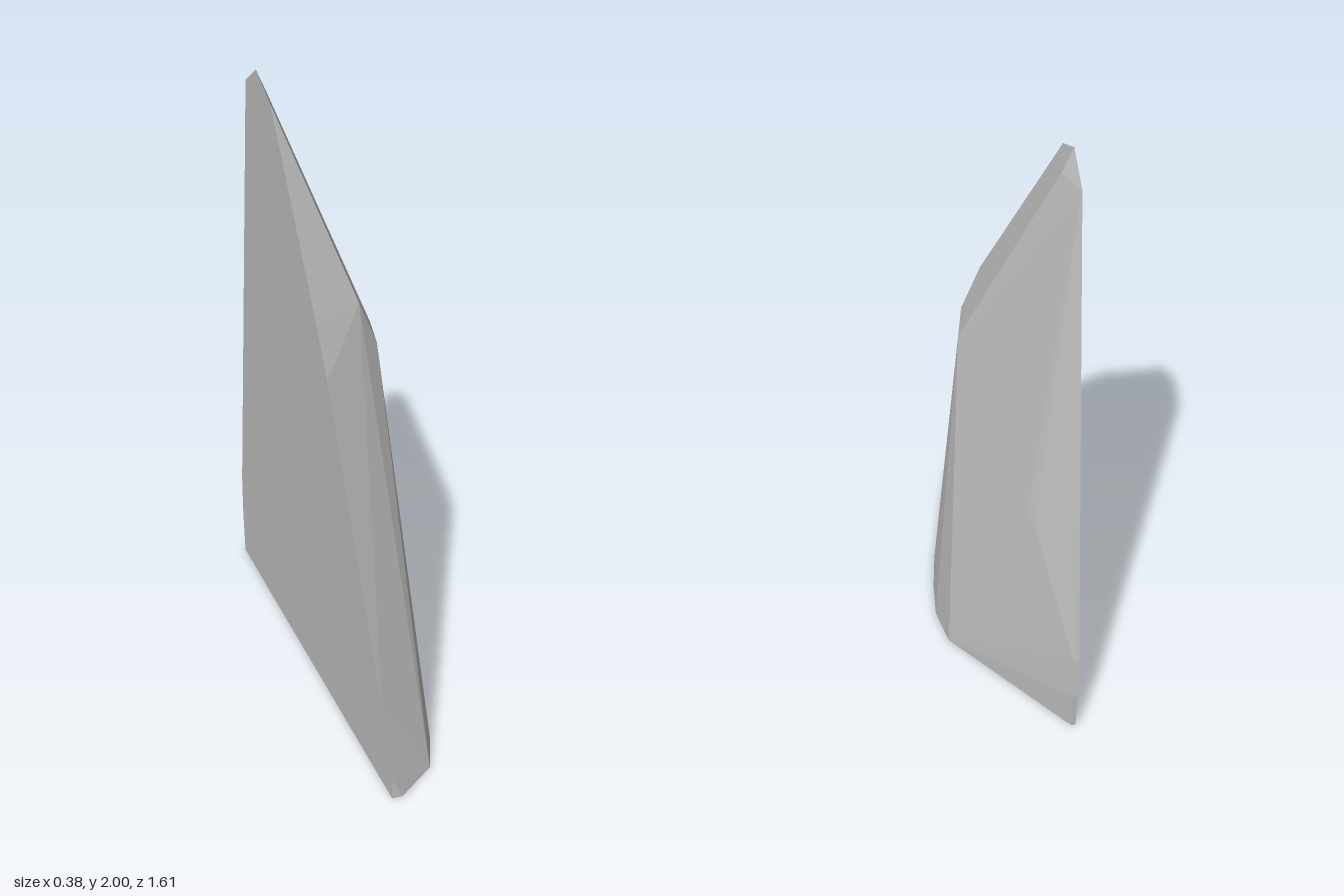
import * as THREE from 'three';
import { ConvexGeometry } from 'three/addons/geometries/ConvexGeometry.js';

export function createModel() {
  const group = new THREE.Group();
  const stone = new THREE.MeshStandardMaterial({ color: 0xc0c0c0 });
  const flatX = -0.19;

  // outline of the flat side, as [z, y]
  const side = [
    [0.805, 0], [0.805, 0.07], [0.71, 0.28], [0.21, 1.19], [0.11, 1.34], [-0.33, 1.93],
    [-0.48, 2], [-0.6, 1.93], [-0.8, 0.31], [-0.8, 0.15], [-0.785, 0],
  ].map(([z, y]) => new THREE.Vector3(flatX, y, z));

  // outline of the base, as [x, z]
  const base = [
    [-0.155, 0.805], [-0.02, 0.7], [0.04, 0.55], [0.15, 0.1], [0.175, -0.05],
    [0.187, -0.19], [0.163, -0.33], [-0.175, -0.785],
  ].map(([x, z]) => new THREE.Vector3(x, 0, z));

  // corners of the bulging side, as [x, y, z]
  const bulge = [
    [0.1, 1.18, -0.19], [0.065, 1.18, -0.03], [0.003, 1.33, -0.03], [-0.155, 1.92, -0.48],
    [-0.05, 0.75, -0.6], [-0.07, 0.75, -0.63], [0.157, 0.16, -0.335],
    [-0.172, 0.31, -0.8], [-0.172, 0.15, -0.8],
  ].map((p) => new THREE.Vector3(...p));

  // one faceted convex rock shard
  const shard = new THREE.Mesh(new ConvexGeometry([...side, ...base, ...bulge]), stone);
  shard.name = 'rockShard';
  group.add(shard);
  return group;
}
